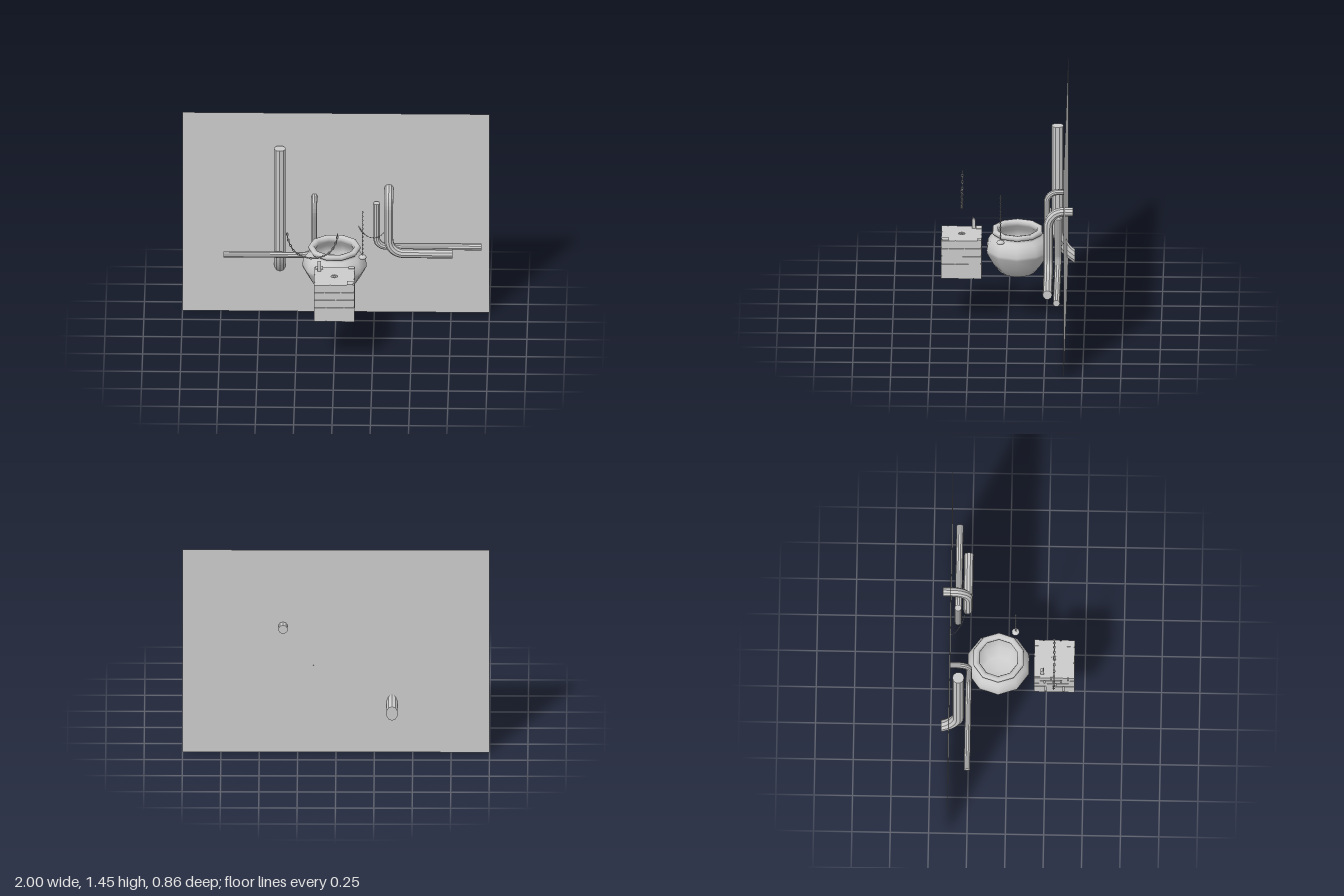
import * as THREE from 'three';
import { mergeGeometries } from 'three/addons/utils/BufferGeometryUtils.js';

const grey = new THREE.MeshStandardMaterial({ color: 0xcccccc, side: THREE.DoubleSide });
const V = (p) => new THREE.Vector3(...p);

function add(parent, name, geometry, x = 0, y = 0, z = 0) {
  const mesh = new THREE.Mesh(geometry, grey);
  mesh.name = name;
  mesh.position.set(x, y, z);
  parent.add(mesh);
  return mesh;
}

// Straight runs joined by rounded bends
function bentPath(points, bend) {
  const path = new THREE.CurvePath();
  let last = V(points[0]);
  for (let i = 1; i < points.length - 1; i++) {
    const c = V(points[i]);
    const a = V(points[i - 1]).sub(c).setLength(bend).add(c);
    const b = V(points[i + 1]).sub(c).setLength(bend).add(c);
    const k = 0.55;
    path.add(new THREE.LineCurve3(last, a));
    path.add(new THREE.CubicBezierCurve3(a, a.clone().lerp(c, k), b.clone().lerp(c, k), b));
    last = b;
  }
  path.add(new THREE.LineCurve3(last, V(points[points.length - 1])));
  return path;
}

// Faceted, capped pipe swept along a path
function pipeGeometry(points, radius, bend) {
  const ring = [];
  for (let i = 0; i < 10; i++) {
    const a = (i / 10) * Math.PI * 2;
    ring.push(new THREE.Vector2(Math.cos(a) * radius, Math.sin(a) * radius));
  }
  return new THREE.ExtrudeGeometry(new THREE.Shape(ring), {
    steps: 48, extrudePath: bentPath(points, bend), bevelEnabled: false,
  });
}

// Chain of oval links, every second one turned a quarter
function chainGeometry(curve, count, width) {
  const length = curve.getLength() / count;
  const wire = width * 0.17;
  const links = [];
  for (let i = 0; i < count; i++) {
    const u = (i + 0.5) / count;
    const link = new THREE.TorusGeometry(width / 2 - wire, wire, 5, 10);
    link.scale((length * 1.3) / width, 1, 1);
    link.rotateX(i % 2 ? Math.PI / 2 : 0);
    link.applyQuaternion(new THREE.Quaternion().setFromUnitVectors(
      new THREE.Vector3(1, 0, 0), curve.getTangentAt(u)));
    const p = curve.getPointAt(u);
    links.push(link.translate(p.x, p.y, p.z));
  }
  return mergeGeometries(links);
}

function buildPipes(group) {
  // Tall pipe sloping back through the wall, its end cut upright
  const slope = 0.8, cut = -0.43;
  const tall = pipeGeometry([[-0.365, 1.22, -0.318], [-0.365, 0.39, -0.318], [-0.365, 0.255, -0.487]], 0.039, 0.1);
  const pos = tall.attributes.position;
  for (let i = 0; i < pos.count; i++) {
    const over = cut - pos.getZ(i);
    if (over > 0) pos.setXYZ(i, pos.getX(i), pos.getY(i) + over * slope, cut);
  }
  tall.computeVertexNormals();
  add(group, 'tallPipe', tall);
  add(group, 'rightPipe', pipeGeometry(
    [[-0.14, 0.842, -0.375], [-0.14, 0.842, -0.25], [-0.14, 0.475, -0.255], [-0.73, 0.475, -0.255]], 0.02, 0.07));
  add(group, 'leftThickPipe', pipeGeometry(
    [[0.345, 0.902, -0.43], [0.345, 0.902, -0.268], [0.345, 0.485, -0.268], [0.76, 0.485, -0.268]], 0.031, 0.1));
  add(group, 'leftThinPipe', pipeGeometry(
    [[0.265, 0.82, -0.33], [0.265, 0.505, -0.33], [0.95, 0.505, -0.33]], 0.023, 0.06));
}

function buildPot(group) {
  // Closed profile: base, belly, neck, rolled lip, hollow inside
  const profile = [
    [0, 0.345], [0.117, 0.345], [0.165, 0.41], [0.208, 0.49], [0.21, 0.51], [0.203, 0.545], [0.185, 0.575],
    [0.162, 0.597], [0.152, 0.61], [0.165, 0.615], [0.172, 0.628], [0.167, 0.641], [0.155, 0.646],
    [0.135, 0.642], [0.128, 0.625], [0.132, 0.605], [0.165, 0.565], [0.185, 0.51], [0.15, 0.42], [0.1, 0.37], [0, 0.365],
  ].map(([r, y]) => new THREE.Vector2(r, y));
  const pot = new THREE.LatheGeometry(profile, 10, Math.PI / 2);
  add(group, 'pot', pot, -0.005, 0, -0.062);
}

function buildBlock(group) {
  const block = new THREE.Group();
  block.name = 'brickBlock';
  block.position.set(0, 0.34, 0.302);
  group.add(block);
  const half = 0.132, height = 0.265, gap = 0.007, depth = 0.006;
  const core = half - depth;
  add(block, 'blockCore', new THREE.BoxGeometry(core * 2, height - depth, core * 2), 0, (height - depth) / 2, 0);

  // Irregular brick courses on each side, leaving shallow joints
  const courses = [
    [0, 0.1, [0.3, 0.75]], [0.1, 0.155, [0.5]], [0.155, 0.21, [0.22, 0.62]], [0.21, height, [0.4, 0.82]],
  ];
  for (let side = 0; side < 4; side++) {
    const face = new THREE.Group();
    face.name = 'brickFace';
    face.rotation.y = (side * Math.PI) / 2;
    block.add(face);
    courses.forEach(([y0, y1, joints], row) => {
      const ends = [0, ...joints.map((j) => j + 0.05 * Math.sin(side * 2 + row)), 1];
      for (let i = 0; i < ends.length - 1; i++) {
        const a = -half + ends[i] * half * 2 + (i ? gap / 2 : 0);
        const b = -half + ends[i + 1] * half * 2 - (i < ends.length - 2 ? gap / 2 : 0);
        const low = y0 + (row ? gap : 0);
        add(face, 'brick', new THREE.BoxGeometry(b - a, y1 - low, depth), (a + b) / 2, (low + y1) / 2, half - depth / 2);
      }
    });
  }

  // Top slab with a round socket
  const top = new THREE.Shape();
  top.moveTo(-core, -core).lineTo(core, -core).lineTo(core, core).lineTo(-core, core).closePath();
  top.holes.push(new THREE.Path().absarc(0, 0, 0.022, 0, Math.PI * 2));
  const slab = new THREE.ExtrudeGeometry(top, { depth, bevelEnabled: false, curveSegments: 6 });
  add(block, 'topSlab', slab.rotateX(-Math.PI / 2), 0, height - depth, 0);
  add(block, 'socketPin', new THREE.CylinderGeometry(0.009, 0.009, 0.006, 8), 0, height - 0.003, 0);

  // Raised chips at the corners
  for (const [x, z, w, d] of [[-0.1, -0.112, 0.05, 0.04], [0.11, -0.118, 0.04, 0.028], [0.105, 0.105, 0.04, 0.05]]) {
    add(block, 'cornerChip', new THREE.BoxGeometry(w, 0.006, d), x, height + 0.003, z);
  }

  // Small upright peg with a slanted top
  const peg = new THREE.Shape();
  peg.moveTo(-0.012, 0).lineTo(0.012, 0).lineTo(0.01, 0.055).lineTo(-0.007, 0.075).lineTo(-0.011, 0.06).closePath();
  const pegGeometry = new THREE.ExtrudeGeometry(peg, { depth: 0.022, bevelEnabled: false });
  add(block, 'peg', pegGeometry.rotateY(Math.PI / 2), -0.11, height, -0.078);
}

function buildChains(group) {
  const swag = new THREE.CatmullRomCurve3([
    [-0.308, 0.92, 0.302], [-0.298, 0.86, 0.302], [-0.25, 0.775, 0.302], [-0.142, 0.735, 0.302],
    [-0.035, 0.775, 0.302], [0.013, 0.86, 0.302], [0.023, 0.92, 0.302],
  ].map(V));
  add(group, 'hangingChain', chainGeometry(swag, 26, 0.017));

  const drop = new THREE.LineCurve3(V([0.18, 0.95, 0.046]), V([0.18, 0.625, 0.046]));
  add(group, 'weightChain', chainGeometry(drop, 22, 0.011));
  const bob = new THREE.SphereGeometry(0.026, 12, 8);
  add(group, 'chainWeight', bob.scale(1, 0.6, 1), 0.18, 0.616, 0.046);

  const link = new THREE.CatmullRomCurve3([
    [0.143, 0.632, -0.387], [0.175, 0.592, -0.35], [0.225, 0.574, -0.318], [0.275, 0.59, -0.293], [0.32, 0.635, -0.28],
  ].map(V));
  add(group, 'wallChain', chainGeometry(link, 24, 0.007));
}

export function createModel() {
  const group = new THREE.Group();
  add(group, 'wall', new THREE.PlaneGeometry(2, 1.45), 0, 0.725, -0.378);
  buildPipes(group);
  buildPot(group);
  buildBlock(group);
  buildChains(group);
  return group;
}
